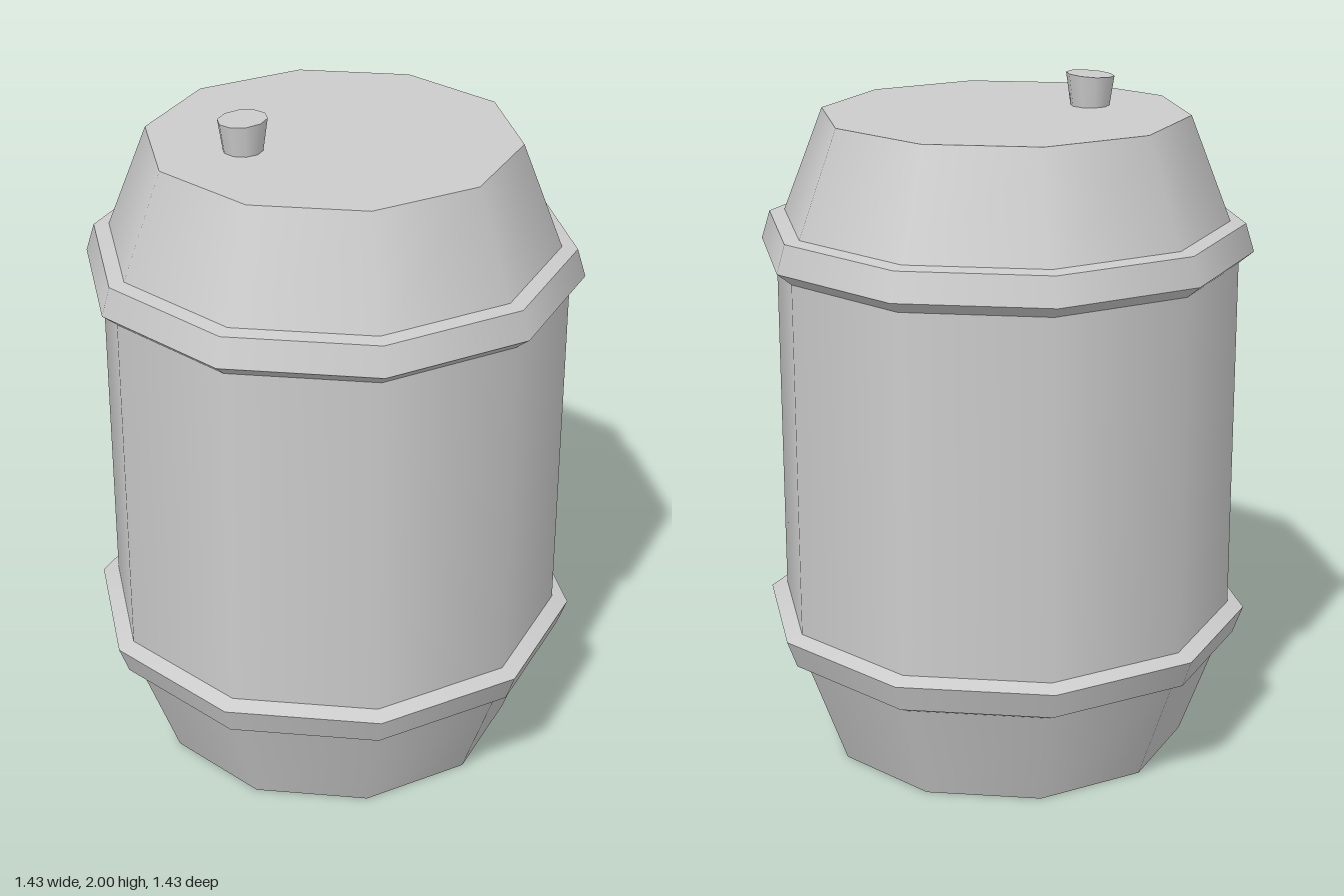
import * as THREE from 'three';

const SIDES = 10;
const TURN = THREE.MathUtils.degToRad(9); // rotation of the ten-sided outline

export function createModel() {
  const model = new THREE.Group();
  const material = new THREE.MeshStandardMaterial({ color: 0xcccccc });

  // Stack of bands, smooth around the barrel and sharp between bands.
  // Profile points are [radius, height], listed from bottom to top.
  function bands(name, profile) {
    const group = new THREE.Group();
    group.name = name;
    for (let i = 1; i < profile.length; i++) {
      const [r0, y0] = profile[i - 1];
      const [r1, y1] = profile[i];
      const band = new THREE.Mesh(
        new THREE.CylinderGeometry(r1, r0, y1 - y0, SIDES, 1, true, TURN), material);
      band.position.y = (y0 + y1) / 2;
      band.name = `${name}Band${i}`;
      group.add(band);
    }
    model.add(group);
  }

  // Flat end of the barrel
  function lid(name, radius, y, up) {
    const mesh = new THREE.Mesh(
      new THREE.CircleGeometry(radius, SIDES, TURN), material);
    mesh.rotation.x = up ? -Math.PI / 2 : Math.PI / 2;
    // match the outline of the bands
    mesh.rotation.z = up ? -2 * TURN : 0;
    mesh.position.y = y;
    mesh.name = name;
    model.add(mesh);
  }

  lid('bottomLid', 0.54, 0, false);
  bands('lowerTaper', [[0.54, 0], [0.655, 0.31]]);
  bands('lowerHoop', [[0.655, 0.31], [0.695, 0.33], [0.725, 0.412], [0.677, 0.428]]);
  bands('barrelBody', [[0.677, 0.428], [0.677, 1.48]]);
  bands('upperHoop', [[0.677, 1.48], [0.72, 1.515], [0.695, 1.597], [0.65, 1.603]]);
  bands('upperTaper', [[0.65, 1.603], [0.532, 1.905]]);
  lid('topLid', 0.532, 1.905, true);

  // Tapered bung with a slightly sloping top
  const bungGeometry = new THREE.CylinderGeometry(0.07, 0.056, 0.1, SIDES, 1, false, TURN);
  const p = bungGeometry.attributes.position;
  for (let i = 0; i < p.count; i++) {
    if (p.getY(i) > 0) p.setY(i, 0.045 + p.getX(i) * 0.07);
  }
  const bung = new THREE.Mesh(bungGeometry, material);
  bung.position.set(-0.25, 1.95, 0.096);
  bung.name = 'bung';
  model.add(bung);

  return model;
}
